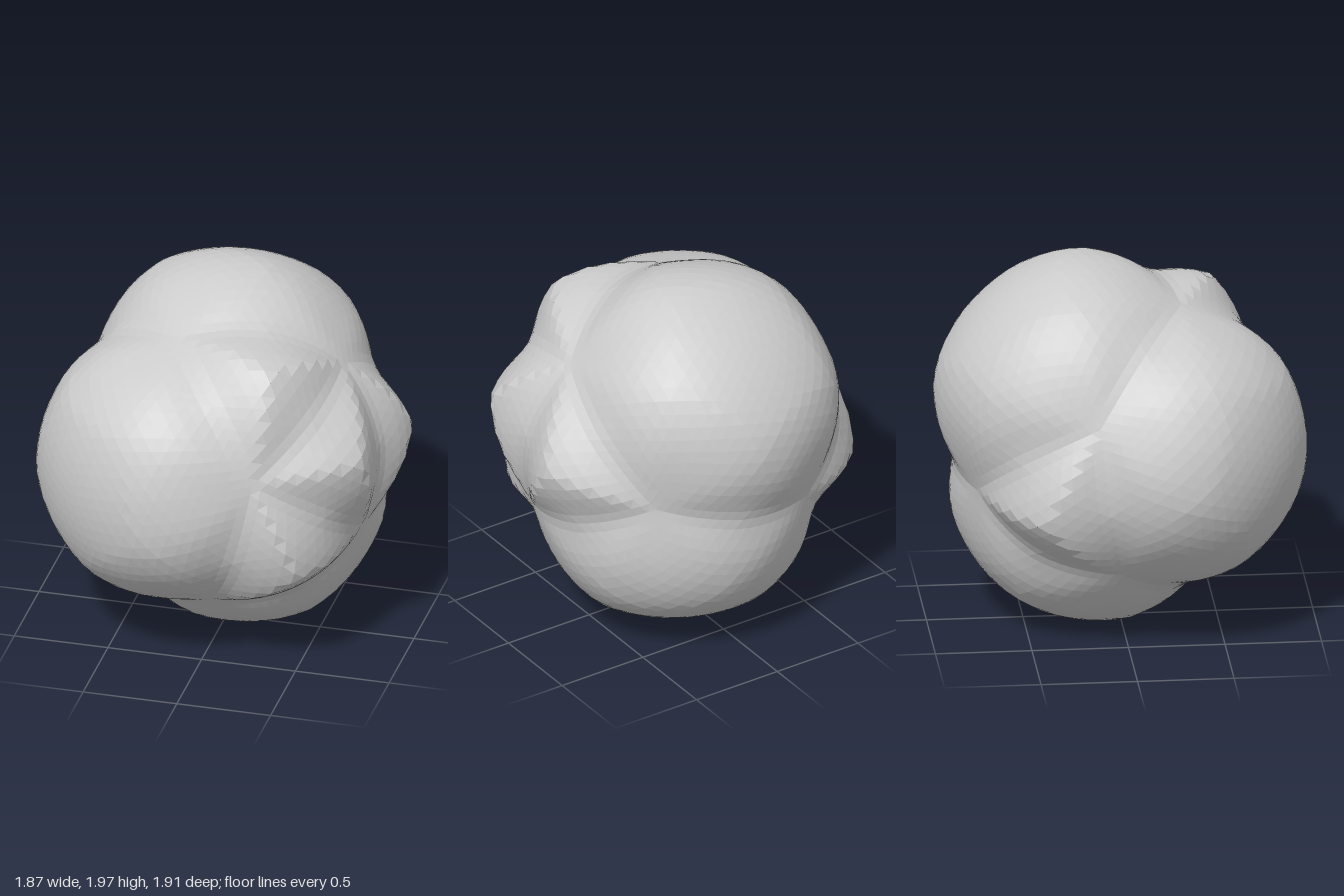
import * as THREE from 'three';

const v = (x, y, z) => new THREE.Vector3(x, y, z).normalize();

// Orthonormal frame spanned by two directions
function frame(a, b) {
  const x = b.clone().sub(a).normalize();
  const y = a.clone().add(b).normalize();
  return new THREE.Matrix4().makeBasis(x, y, x.clone().cross(y));
}

// Icosahedron turned so that two neighbouring corners hit given directions
const T = (1 + Math.sqrt(5)) / 2;
function icoTurn() {
  const from = frame(v(-1, T, 0), v(1, T, 0));
  return frame(v(0.33, 0.17, 0.75), v(-0.18, 0.75, 0.32)).multiply(from.transpose());
}

function icoCorners(turn) {
  const out = [];
  for (const s of [-1, 1]) for (const u of [-T, T]) {
    out.push(v(s, u, 0), v(0, s, u), v(u, 0, s));
  }
  return out.map(c => c.applyMatrix4(turn));
}

// Angle from a direction to the great-circle arc a-b
function arcDistance(p, arc) {
  const side = p.dot(arc.normal);
  const q = p.clone().addScaledVector(arc.normal, -side).normalize();
  if (q.dot(arc.mid) >= arc.reach) return Math.asin(Math.min(1, Math.abs(side)));
  return Math.min(p.angleTo(arc.a), p.angleTo(arc.b));
}

export function createModel() {
  const turn = icoTurn();

  // Three corners stay as centres of big round lobes, the other nine are pits
  const lobes = [v(-0.62, -0.01, 0.8), v(-0.06, 0.74, -0.67), v(0.21, -0.91, -0.355)];
  const pits = icoCorners(turn).filter(c => lobes.every(l => l.angleTo(c) > 0.4));

  // Valleys join neighbouring pits
  const valleys = [];
  pits.forEach((a, i) => pits.slice(i + 1).forEach(b => {
    if (a.angleTo(b) < 1.3) {
      const mid = a.clone().add(b).normalize();
      valleys.push({ a, b, mid, reach: mid.dot(a), normal: a.clone().cross(b).normalize() });
    }
  }));

  // Radius: wide cones rise from the pits, soft valleys narrow towards them
  function radius(p) {
    const d = Math.min(...pits.map(c => c.angleTo(p)));
    const m = Math.min(...valleys.map(e => arcDistance(p, e)));
    const cone = 0.35 * Math.min(1, d / 0.72) + 0.65 * THREE.MathUtils.smoothstep(d, 0, 0.72);
    const width = 0.01 + Math.min(0.3, 0.47 * d);
    const valley = 0.83 * Math.exp(-((m / width) ** 2));
    return 0.836 + 0.172 * cone * (1 - valley);
  }

  const geo = new THREE.IcosahedronGeometry(1, 15);
  geo.applyMatrix4(turn);
  const pos = geo.attributes.position, p = new THREE.Vector3();
  for (let i = 0; i < pos.count; i++) {
    p.fromBufferAttribute(pos, i).normalize();
    p.multiplyScalar(radius(p));
    pos.setXYZ(i, p.x, p.y, p.z);
  }

  // Stand on the ground
  geo.computeBoundingBox();
  geo.translate(0, -geo.boundingBox.min.y, -0.02);
  geo.computeVertexNormals();

  const body = new THREE.Mesh(geo, new THREE.MeshStandardMaterial({ color: 0xcccccc, flatShading: true }));
  body.name = 'lobedBoulder';
  const group = new THREE.Group();
  group.name = 'boulder';
  group.add(body);
  return group;
}
